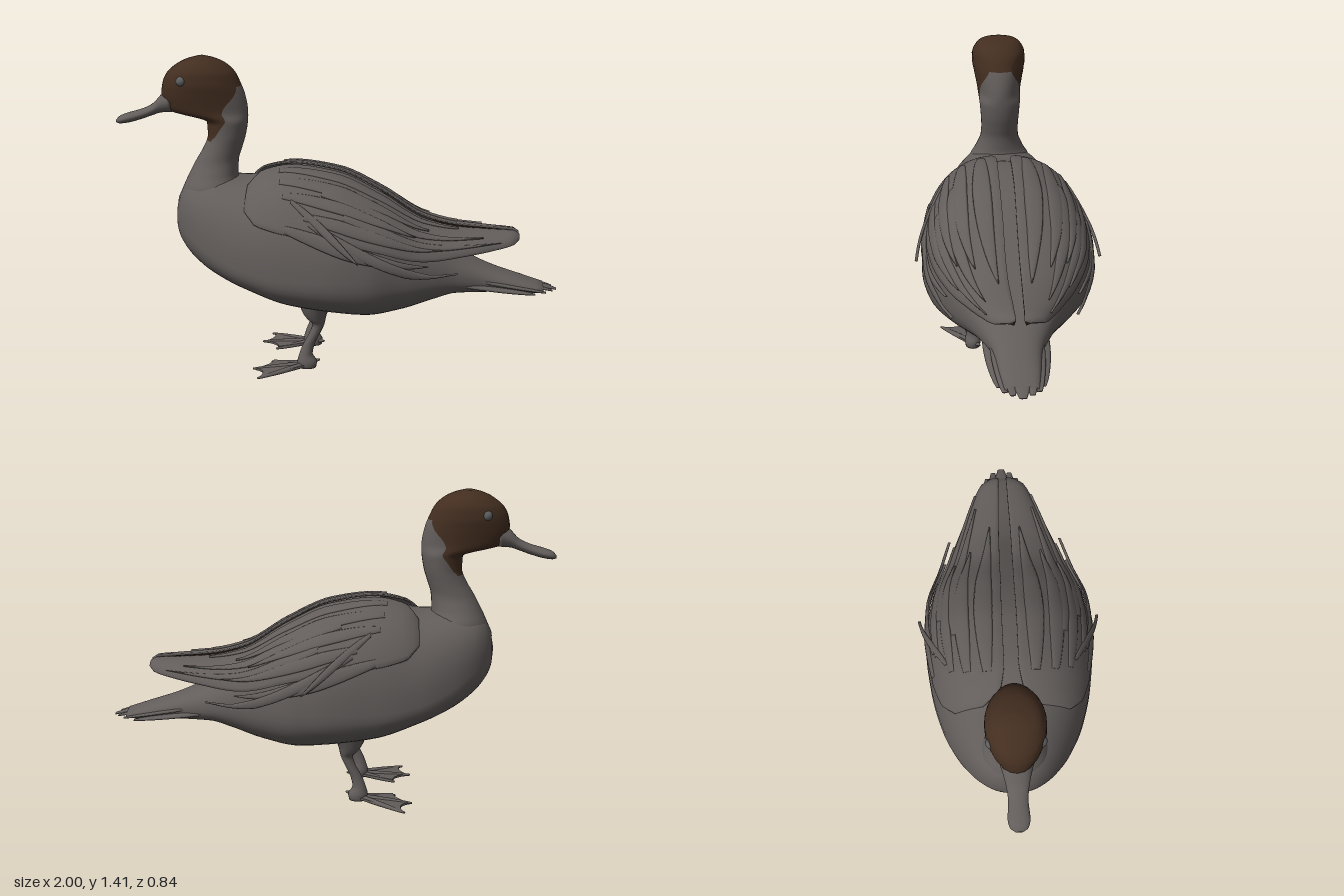
import * as THREE from 'three';

const mat = (name, color) => Object.assign(new THREE.MeshStandardMaterial({ color }), { name });
const V = (x, y, z) => new THREE.Vector3(x, y, z);
const PI = Math.PI;

// Smooth, overshoot-free interpolation of rows [key, a, b, ...]
function sample(table, key) {
  const last = table.length - 1;
  const k = Math.min(Math.max(key, table[0][0]), table[last][0]);
  let i = 0;
  while (i < last - 1 && k > table[i + 1][0]) i++;
  const h = table[i + 1][0] - table[i][0], t = (k - table[i][0]) / h;
  const slope = (r, c) => (table[r + 1][c] - table[r][c]) / (table[r + 1][0] - table[r][0]);
  const tangent = (r, c) => {
    if (r === 0) return slope(0, c);
    if (r === last) return slope(last - 1, c);
    const p = slope(r - 1, c), q = slope(r, c);
    return p * q <= 0 ? 0 : 2 * p * q / (p + q);
  };
  return table[i].slice(1).map((v, n) => {
    const c = n + 1, t2 = t * t, t3 = t2 * t;
    return (2 * t3 - 3 * t2 + 1) * v + (t3 - 2 * t2 + t) * h * tangent(i, c)
      + (3 * t2 - 2 * t3) * table[i + 1][c] + (t3 - t2) * h * tangent(i + 1, c);
  });
}

// Skin closed rings, cap both ends, face outwards; pick(row, column) chooses a material
function loft(rings, pick = () => 0) {
  const n = rings[0].length, pts = rings.flat(), lists = [[], []];
  for (let i = 0; i < rings.length - 1; i++) for (let j = 0; j < n; j++) {
    const a = i * n + j, b = i * n + (j + 1) % n;
    lists[pick(i, j)].push(a, b, a + n, b, b + n, a + n);
  }
  [0, rings.length - 1].forEach((r, end) => {
    const c = pts.length;
    pts.push(rings[r].reduce((s, p) => s.add(p), V(0, 0, 0)).divideScalar(n));
    for (let j = 0; j < n; j++) {
      const a = r * n + j, b = r * n + (j + 1) % n;
      lists[pick(Math.min(r, rings.length - 2), j)].push(...(end ? [a, b, c] : [b, a, c]));
    }
  });
  const index = lists.flat();
  let volume = 0;
  for (let i = 0; i < index.length; i += 3) {
    volume += pts[index[i]].dot(V(0, 0, 0).crossVectors(pts[index[i + 1]], pts[index[i + 2]]));
  }
  const g = new THREE.BufferGeometry().setFromPoints(pts);
  g.setIndex(index);
  if (volume < 0) flip(g);
  g.addGroup(0, lists[0].length, 0);
  if (lists[1].length) g.addGroup(lists[0].length, lists[1].length, 1);
  g.computeVertexNormals();
  return g;
}

function flip(g) {
  const id = g.index ? [...g.index.array] : Array.from({ length: g.attributes.position.count }, (_, i) => i);
  for (let i = 0; i < id.length; i += 3) [id[i], id[i + 1]] = [id[i + 1], id[i]];
  g.setIndex(id);
  return g;
}

const steps = (n, f) => Array.from({ length: n + 1 }, (_, i) => f(i / n));
const spow = (v, p) => Math.sign(v) * Math.abs(v) ** p;

// Body: x, bottom, top, half width, height of the widest point
const BODY = [
  [-0.73, 0.67, 0.71, 0.02, 0.69], [-0.72, 0.61, 0.76, 0.075, 0.68], [-0.69, 0.555, 0.83, 0.13, 0.66],
  [-0.64, 0.50, 0.865, 0.185, 0.63], [-0.55, 0.44, 0.875, 0.25, 0.57], [-0.4, 0.375, 0.87, 0.32, 0.51],
  [-0.2, 0.305, 0.918, 0.37, 0.48], [0, 0.275, 0.888, 0.39, 0.48], [0.15, 0.262, 0.82, 0.37, 0.48],
  [0.3, 0.285, 0.72, 0.3, 0.47], [0.45, 0.33, 0.61, 0.22, 0.46], [0.55, 0.355, 0.54, 0.165, 0.44],
  [0.7, 0.355, 0.47, 0.105, 0.41], [0.85, 0.352, 0.42, 0.085, 0.385], [0.94, 0.355, 0.39, 0.07, 0.37],
];
function bodyGeometry() {
  return loft(steps(70, t => {
    const x = -0.73 + 1.67 * t ** 1.5, [lo, hi, hw, mid] = sample(BODY, x);
    return steps(47, u => {
      const a = u * 2 * PI * 47 / 48, c = spow(Math.cos(a), 0.85);
      return V(x, mid + c * (c > 0 ? hi - mid : mid - lo), hw * spow(Math.sin(a), 0.85));
    });
  }));
}

// Neck and head: y, front x, back x, half width
const NECK = [
  [0.62, -0.70, -0.42, 0.15], [0.75, -0.725, -0.42, 0.145], [0.82, -0.70, -0.43, 0.145],
  [0.88, -0.672, -0.45, 0.115], [0.95, -0.635, -0.445, 0.09], [1.0, -0.605, -0.43, 0.088],
  [1.06, -0.583, -0.412, 0.091], [1.12, -0.586, -0.402, 0.096], [1.135, -0.61, -0.401, 0.098],
  [1.15, -0.68, -0.4, 0.1], [1.165, -0.745, -0.4, 0.102], [1.19, -0.775, -0.402, 0.106],
  [1.25, -0.79, -0.415, 0.118], [1.3, -0.782, -0.435, 0.126], [1.34, -0.762, -0.455, 0.124],
  [1.38, -0.715, -0.497, 0.105], [1.4, -0.675, -0.54, 0.08], [1.414, -0.625, -0.59, 0.03],
];
// Edge of the brown hood: y, angle from the front in units of pi
const HOOD = [[0.62, 0.5], [1.0, 0.3], [1.04, 0.26], [1.06, 0.334], [1.12, 0.49], [1.15, 0.6],
  [1.2, 0.68], [1.25, 0.8], [1.285, 0.86], [1.414, 0.5]];
function headGeometry() {
  const yAt = t => 0.62 + 0.794 * (1 - (1 - t) ** 1.4);
  const rings = steps(80, t => {
    const y = yAt(t), [f, b, hz] = sample(NECK, y), edge = sample(HOOD, y)[0] * PI;
    return steps(39, u => {
      const j = Math.round(u * 39), h = j <= 20 ? j : 40 - j;
      const a = h <= 10 ? edge * h / 10 : edge + (PI - edge) * (h - 10) / 10;
      return V((f + b) / 2 - (b - f) / 2 * Math.cos(a), y, hz * Math.sin(a) * (j <= 20 ? 1 : -1));
    });
  });
  return loft(rings, (i, j) => {
    const y = yAt((i + 0.5) / 80);
    return y > 1.285 || (y > 1.04 && Math.min(j, 39 - j) < 10) ? 1 : 0;
  });
}

// Bill: x, bottom, top, half width
const BILL = [[-1, 1.108, 1.122, 0.015], [-0.985, 1.104, 1.138, 0.037], [-0.95, 1.108, 1.152, 0.046],
  [-0.88, 1.127, 1.173, 0.041], [-0.83, 1.145, 1.198, 0.046], [-0.79, 1.157, 1.24, 0.056], [-0.74, 1.16, 1.27, 0.07]];
const billGeometry = () => loft(steps(24, t => {
  const x = -1 + 0.26 * t ** 1.3, [lo, hi, hw] = sample(BILL, x);
  return steps(19, u => V(x, (lo + hi) / 2 + (hi - lo) / 2 * Math.cos(u * 1.9 * PI), hw * Math.sin(u * 1.9 * PI)));
}));

// Wing: x, top, height and half width of the widest point, inner and outer angle from the top
const WING = [
  [-0.39, 0.872, 0.5, 0.325, 20, 48], [-0.33, 0.908, 0.5, 0.35, 6, 62], [-0.2, 0.93, 0.48, 0.383, 3, 66],
  [0, 0.902, 0.48, 0.395, 3, 68], [0.2, 0.81, 0.5, 0.365, 3, 72], [0.4, 0.69, 0.52, 0.28, 4, 80],
  [0.55, 0.655, 0.55, 0.215, 5, 85], [0.7, 0.645, 0.575, 0.15, 6, 88], [0.8, 0.64, 0.59, 0.1, 8, 85],
  [0.825, 0.625, 0.6, 0.06, 15, 70],
];
function wingPoint(x, deg, off) {
  const [top, mid, hw] = sample(WING, x), a = deg * PI / 180, s = Math.sin(a), c = Math.cos(a);
  return V(x, mid + (top - mid) * spow(c, 0.85) + off * c, hw * spow(s, 0.85) + off * s);
}
function wingGeometry() {
  const xAt = t => -0.39 + 1.215 * t;
  return loft(steps(50, t => {
    const x = xAt(t), [, , , a0, a1] = sample(WING, x);
    const side = under => steps(19, u => wingPoint(x, a0 + (a1 - a0) * (under ? 1 - u : u),
      under ? -0.006 - 0.02 * Math.sin(u * PI) : 0.004));
    return [...side(false), ...side(true)];
  }), (i, j) => (j >= 20 && j < 39 && xAt(i / 50) > 0.42 ? 1 : 0));
}

// Feather lying along the wing, pointed at its rear end
function feather([x0, a0, x1, a1, w, lift]) {
  return loft(steps(20, t => {
    const width = w * Math.sin(PI * (0.12 + 0.87 * t)) ** 0.7;
    return steps(9, u => {
      const p = u * 1.8 * PI;
      return wingPoint(x0 + (x1 - x0) * t, a0 + (a1 - a0) * t + width * Math.cos(p),
        0.003 + lift * t * t + 0.007 * Math.sin(p));
    });
  }));
}
const FEATHERS = [
  [-0.25, 13, 0.55, 15, 6, 0.005], [-0.24, 27, 0.42, 32, 6, 0.008], [-0.22, 40, 0.36, 48, 5, 0.008],
  [-0.05, 34, 0.66, 46, 6, 0.006], [-0.12, 54, 0.48, 66, 5, 0.01], [0.05, 50, 0.74, 68, 6, 0.005],
  [-0.2, 63, 0.42, 86, 5, 0.015], [-0.1, 58, 0.55, 104, 4, 0.055], [-0.18, 44, 0.12, 80, 3.5, 0.035],
];

// Straight flat blade between two points, for tail feathers and toes
function blade(a, b, w, th, start = 0.2, end = 0.96) {
  const dir = b.clone().sub(a).normalize(), side = dir.clone().cross(V(0, 1, 0)).normalize();
  const up = side.clone().cross(dir);
  return loft(steps(14, t => {
    const k = Math.sin(PI * (start + (end - start) * t)) ** 0.6;
    return steps(9, u => a.clone().lerp(b, t)
      .addScaledVector(side, w * k * Math.cos(u * 1.8 * PI)).addScaledVector(up, th * k * Math.sin(u * 1.8 * PI)));
  }));
}

// Leg with feathered thigh: y, front x, back x, half width
const LEG = [[0.015, -0.165, -0.085, 0.034], [0.04, -0.17, -0.08, 0.038], [0.08, -0.16, -0.1, 0.03],
  [0.12, -0.145, -0.092, 0.026], [0.19, -0.11, -0.06, 0.028], [0.225, -0.1, -0.045, 0.031],
  [0.24, -0.115, -0.042, 0.043], [0.27, -0.14, -0.035, 0.058], [0.34, -0.17, 0, 0.085]];
const legGeometry = () => loft(steps(30, t => {
  const y = 0.015 + 0.325 * t, [f, b, hz] = sample(LEG, y);
  return steps(15, u => V((f + b) / 2 + (b - f) / 2 * Math.cos(u * 1.875 * PI), y, 0.155 + hz * Math.sin(u * 1.875 * PI)));
}));

// Web between the toes, sloping down to the front
function webGeometry() {
  const s = new THREE.Shape();
  s.moveTo(-0.12, 0.13);
  s.lineTo(-0.285, 0.09);
  s.quadraticCurveTo(-0.29, 0.15, -0.36, 0.185);
  s.quadraticCurveTo(-0.3, 0.22, -0.325, 0.295);
  s.lineTo(-0.12, 0.18);
  const g = new THREE.ExtrudeGeometry(s, { depth: 0.01, bevelEnabled: false }).rotateX(PI / 2);
  const p = g.attributes.position;
  for (let i = 0; i < p.count; i++) p.setY(i, p.getY(i) + 0.012 + (p.getX(i) + 0.37) * 0.09);
  g.computeVertexNormals();
  return g;
}

export function createModel() {
  const model = new THREE.Group();
  const grey = mat('greyPlumage', 0x625d5b), brown = mat('brownHood', 0x432e20), eyeMat = mat('eyeGrey', 0x5c5d5e);
  const add = (name, geo, material) => {
    const m = new THREE.Mesh(geo, material);
    m.name = name;
    model.add(m);
  };
  const pair = (name, geo, material) => {
    add(name + 'Near', geo, material);
    add(name + 'Far', flip(geo.clone().scale(1, 1, -1)), material);
  };

  add('body', bodyGeometry(), grey);
  add('neckAndHead', headGeometry(), [grey, brown]);
  add('bill', billGeometry(), grey);
  pair('eye', new THREE.SphereGeometry(0.024, 20, 14).translate(-0.68, 1.313, 0.1), eyeMat);

  // Folded wings
  pair('wing', wingGeometry(), [grey, brown]);
  FEATHERS.forEach((f, i) => pair('wingFeather' + (i + 1), feather(f), grey));

  // Tail fan
  add('tailFeatherMiddle', blade(V(0.5, 0.5, 0), V(1, 0.365, 0), 0.055, 0.012), grey);
  [[0.98, 0.04, 0.368], [0.95, 0.07, 0.366], [0.9, 0.09, 0.362]].forEach(([x, z, y], i) =>
    pair('tailFeather' + (i + 1), blade(V(0.48, 0.49 - 0.035 * i, 0.05 + 0.03 * i), V(x, y, z), 0.04, 0.011), grey));

  // Legs and webbed feet
  pair('leg', legGeometry(), grey);
  pair('footWeb', webGeometry(), grey);
  [[-0.295, 0.088], [-0.37, 0.185], [-0.335, 0.302]].forEach(([x, z], i) =>
    pair('toe' + (i + 1), blade(V(-0.12, 0.03, 0.155), V(x, 0.009, z), 0.016, 0.012, 0.4, 0.94), grey));
  pair('hindToe', blade(V(-0.12, 0.035, 0.15), V(-0.07, 0.04, 0.125), 0.014, 0.01, 0.4, 0.94), grey);
  return model;
}
